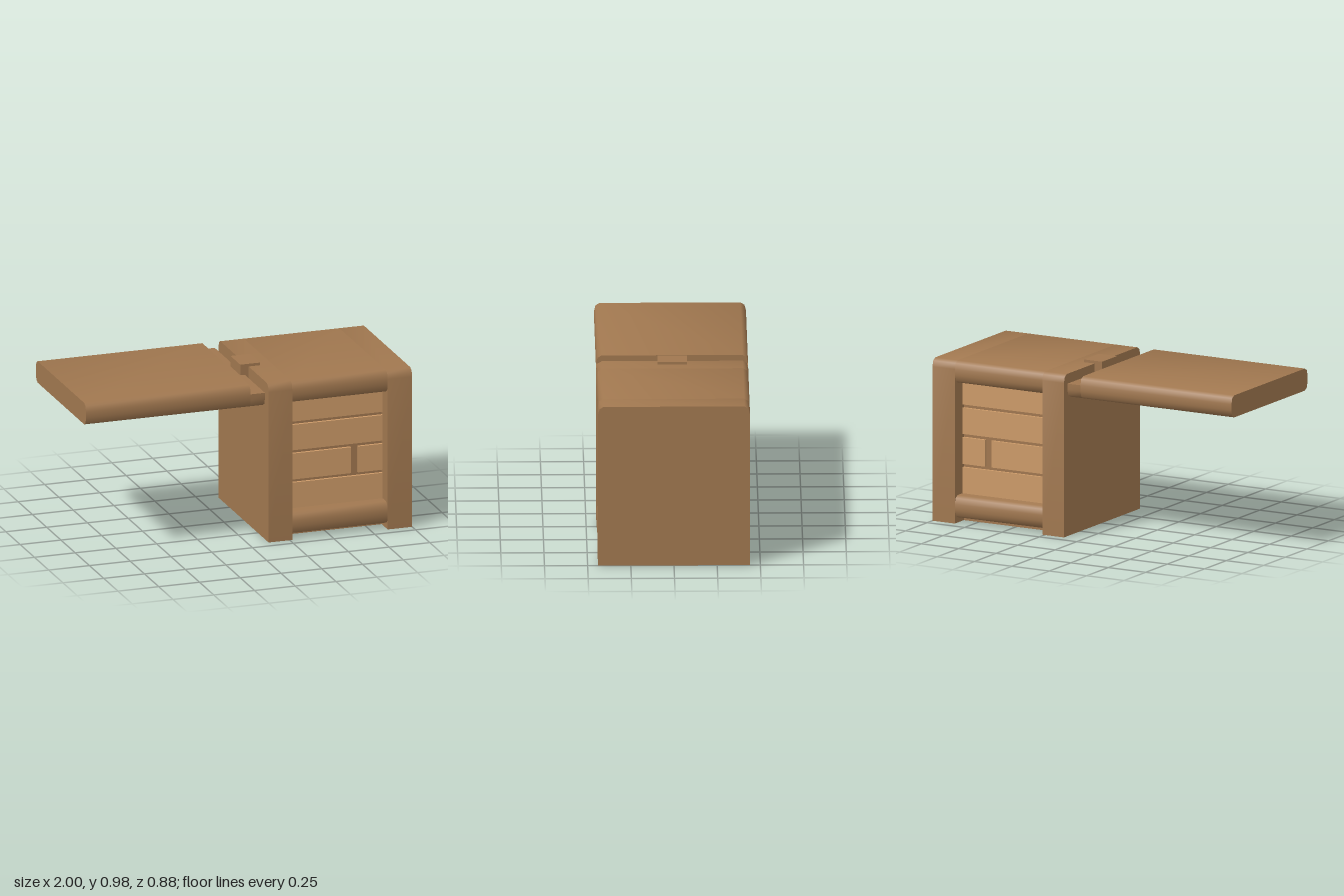
import * as THREE from 'three';
import { toCreasedNormals } from 'three/addons/utils/BufferGeometryUtils.js';

const HALF = 0.44; // half depth of block and lid

// Rounded corner as [inset from side, drop from top or bottom]
const CORNER = [[0, 0.048], [0.009, 0.014], [0.032, 0]];

// Depth/height profile extruded along x, with optional rounded top and bottom edges
function bar(x0, x1, y0, y1, roundTop, roundBottom) {
  const half = [];
  if (roundBottom) CORNER.slice().reverse().forEach(([i, d]) => half.push([HALF - i, y0 + d]));
  else half.push([HALF, y0]);
  if (roundTop) CORNER.forEach(([i, d]) => half.push([HALF - i, y1 - d]));
  else half.push([HALF, y1]);
  const mirrored = half.slice().reverse().map(([z, y]) => [-z, y]);
  const shape = new THREE.Shape([...half, ...mirrored].map(([z, y]) => new THREE.Vector2(z, y)));
  const geo = new THREE.ExtrudeGeometry(shape, { depth: x1 - x0, bevelEnabled: false });
  geo.rotateY(Math.PI / 2);
  geo.translate(x0, 0, 0);
  return toCreasedNormals(geo, 0.87);
}

// Box given by its limits on each axis
function box(x0, x1, y0, y1, z0, z1) {
  const geo = new THREE.BoxGeometry(x1 - x0, y1 - y0, z1 - z0);
  geo.translate((x0 + x1) / 2, (y0 + y1) / 2, (z0 + z1) / 2);
  return geo;
}

export function createModel() {
  const wood = new THREE.MeshStandardMaterial({ color: 0xa0774f });
  wood.name = 'brown wood';
  const light = new THREE.MeshStandardMaterial({ color: 0xcc9a68 });
  light.name = 'light wood';

  const model = new THREE.Group();
  model.name = 'crate';
  const add = (parent, name, geo, mat = wood) => {
    const mesh = new THREE.Mesh(geo, mat);
    mesh.name = name;
    parent.add(mesh);
  };
  const group = (name) => {
    const g = new THREE.Group();
    g.name = name;
    model.add(g);
    return g;
  };

  // Body: two end walls, rounded rails between them and a recessed core
  const body = group('body');
  const inL = 0.265, inR = 0.85;
  add(body, 'innerWall', bar(0.12, inL, 0, 0.963, true, false));
  add(body, 'outerWall', bar(inR, 1, 0, 0.963, true, false));
  add(body, 'topRail', bar(inL, inR, 0.832, 0.963, true, true));
  add(body, 'bottomRail', bar(inL, inR, 0.032, 0.163, true, true));
  add(body, 'core', box(inL, inR, 0, 0.84, -0.335, 0.335));

  // Planks on front and back; the third row is split
  const planks = group('planks');
  const rows = [
    [0.69, 0.835, [[inL, inR]]],
    [0.515, 0.67, [[inL, inR]]],
    [0.337, 0.495, [[inL, 0.657], [0.70, inR]]],
    [0.155, 0.318, [[inL, inR]]],
  ];
  for (const side of [1, -1]) {
    for (const [y0, y1, spans] of rows) {
      for (const [x0, x1] of spans) {
        const za = side * 0.33, zb = side * 0.352;
        add(planks, 'plank', box(x0, x1, y0, y1, Math.min(za, zb), Math.max(za, zb)), light);
      }
    }
  }

  // Open lid with a stepped lip along the hinge edge
  const lid = group('lid');
  add(lid, 'lidPanel', bar(-1, 0.01, 0.832, 0.963, true, true));
  add(lid, 'lidLip', bar(0.01, 0.097, 0.832, 0.915, false, true));

  // Hinge clip bridging lid and body
  const hinge = group('hinge');
  add(hinge, 'hingePost', box(0.07, 0.12, 0.817, 0.979, -0.086, 0.086));
  add(hinge, 'hingePlate', box(0.12, 0.192, 0.963, 0.979, -0.086, 0.086));

  return model;
}
